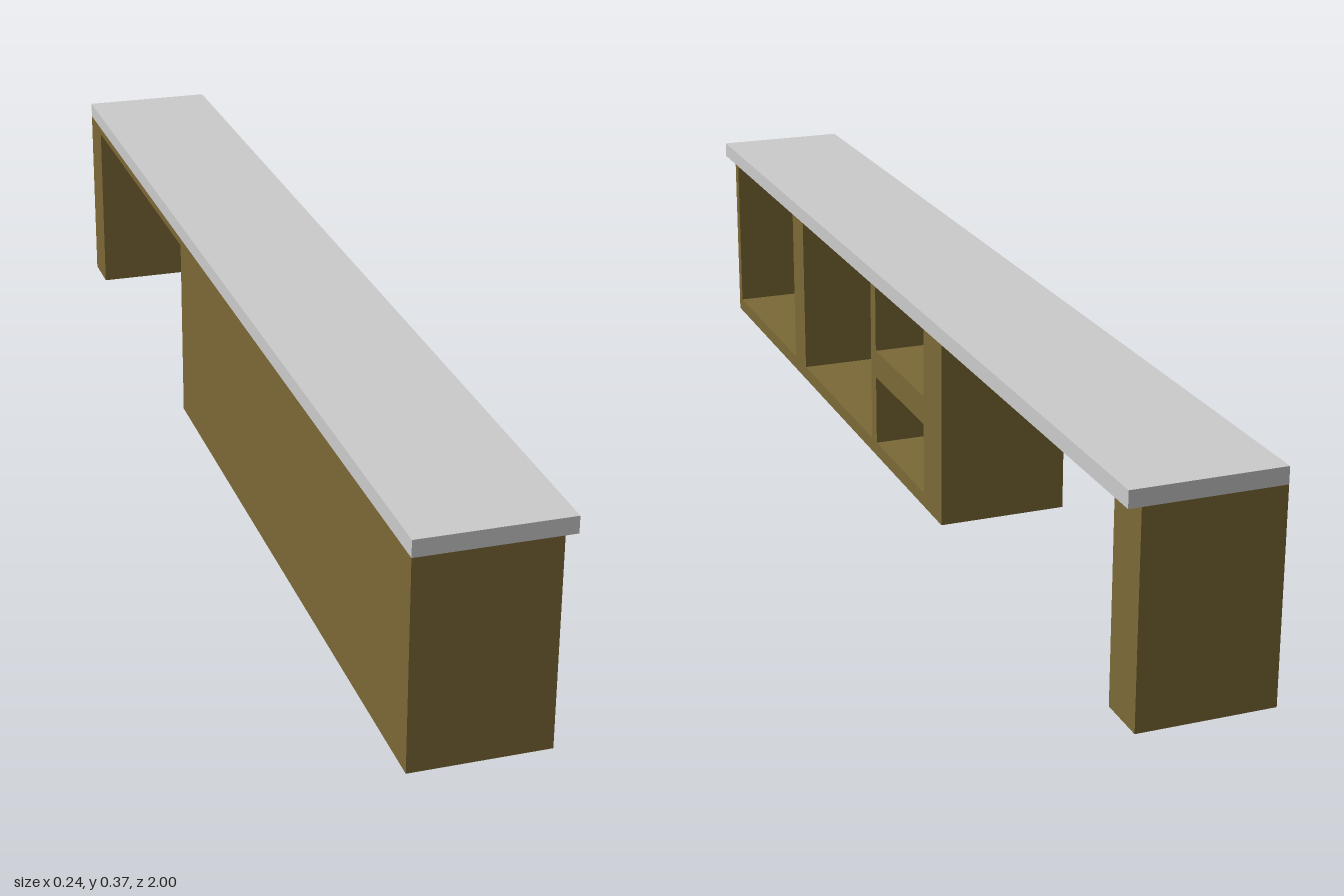
import * as THREE from 'three';

const LEFT = -0.12, FRONT = 0.1, BACK_PANEL = 0.013;
const BODY_H = 0.339, TOP_H = 0.027;

// Niche openings: [z start, z end, y bottom, y top]
const NICHES = [
  [0.98, 0.587, 0.025, 0.326],
  [0.52, 0.116, 0.025, 0.326],
  [0.09, -0.157, 0.2, 0.326],
  [0.09, -0.157, 0.025, 0.15],
];

// Side outline of the carcass: cabinet, thin bridge and end leg (z, y)
const OUTLINE = [
  [1, 0], [-0.242, 0], [-0.242, 0.326], [-0.915, 0.326],
  [-0.915, 0], [-1, 0], [-1, BODY_H], [1, BODY_H],
];

const toPoints = (list) => list.map(([z, y]) => new THREE.Vector2(-z, y));

// Extrudes the outline across the width, from x to x + depth
function carcassSlab(name, material, x, depth, niches) {
  const shape = new THREE.Shape(toPoints(OUTLINE));
  for (const [z0, z1, y0, y1] of niches) {
    shape.holes.push(new THREE.Path(toPoints([[z0, y0], [z0, y1], [z1, y1], [z1, y0]])));
  }
  const geometry = new THREE.ExtrudeGeometry(shape, { depth, bevelEnabled: false });
  geometry.rotateY(Math.PI / 2);
  const mesh = new THREE.Mesh(geometry, material);
  mesh.name = name;
  mesh.position.x = x;
  return mesh;
}

export function createModel() {
  const group = new THREE.Group();
  group.name = 'counter';
  const wood = new THREE.MeshStandardMaterial({ color: 0x7c6936 });
  const grey = new THREE.MeshStandardMaterial({ color: 0xcccccc });

  // Closed back and open-fronted shelving
  group.add(carcassSlab('backPanel', wood, LEFT, BACK_PANEL, []));
  group.add(carcassSlab('shelfCarcass', wood, LEFT + BACK_PANEL, FRONT - LEFT - BACK_PANEL, NICHES));

  // Worktop overhanging the open side
  const top = new THREE.Mesh(new THREE.BoxGeometry(0.24, TOP_H, 2), grey);
  top.name = 'worktop';
  top.position.y = BODY_H + TOP_H / 2;
  group.add(top);

  return group;
}
